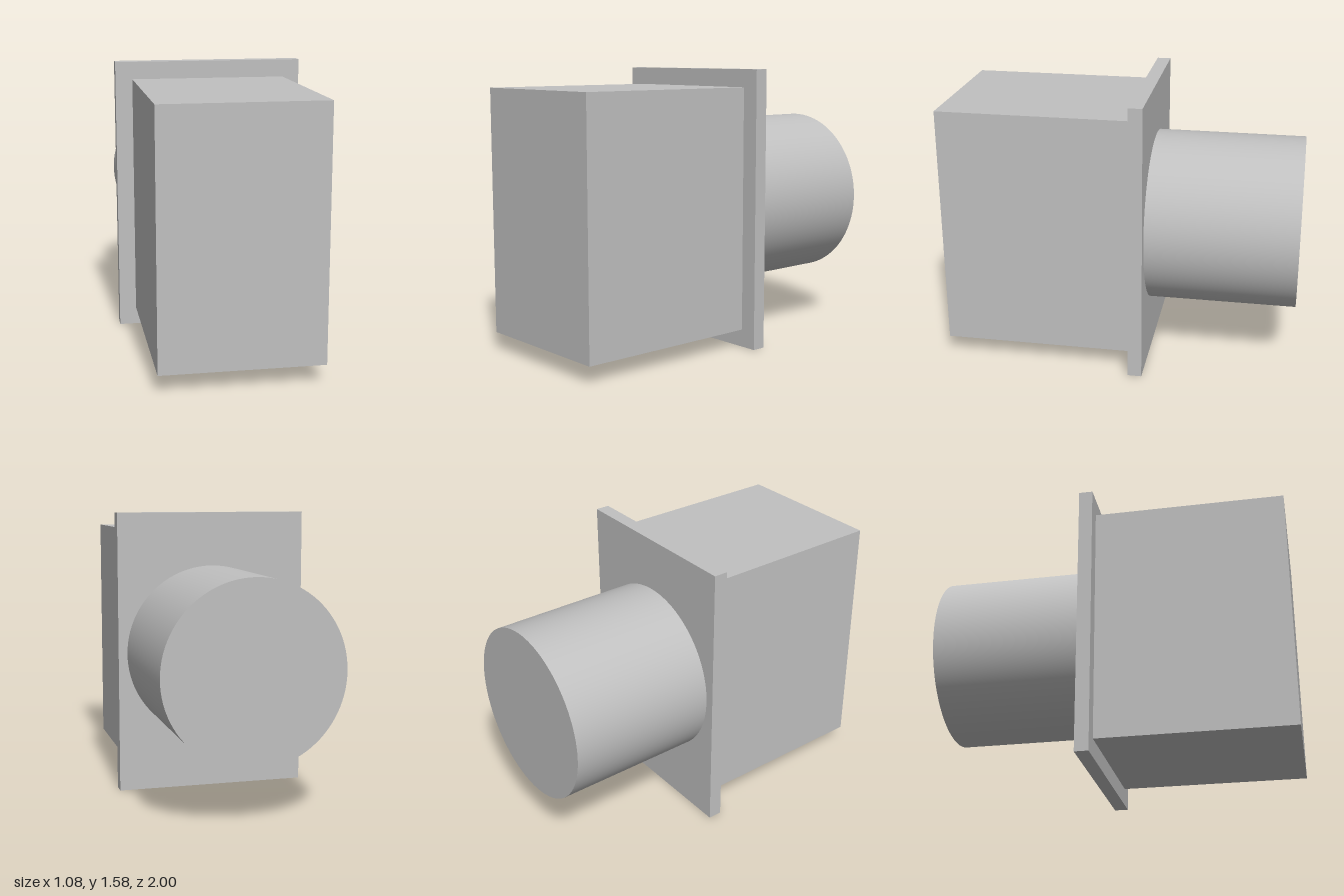
import * as THREE from 'three';

const CENTRE_Y = 0.79;

export function createModel() {
  const model = new THREE.Group();
  model.name = 'flangedDuctAdapter';

  const grey = new THREE.MeshStandardMaterial({ color: 0xc0c0c0 });
  grey.name = 'grey';

  const addPart = (name, geometry, z) => {
    const mesh = new THREE.Mesh(geometry, grey);
    mesh.name = name;
    mesh.position.set(0, CENTRE_Y, z);
    model.add(mesh);
  };

  // Rectangular block at the front
  addPart('frontBlock', new THREE.BoxGeometry(0.886, 1.38, 1.082), 0.459);

  // Thin flange between block and pipe
  addPart('flange', new THREE.BoxGeometry(1.08, 1.58, 0.078), -0.121);

  // Round pipe at the back, closed at its end
  const pipe = new THREE.CylinderGeometry(0.49, 0.49, 0.84, 96).rotateX(Math.PI / 2);
  addPart('rearPipe', pipe, -0.58);

  return model;
}
